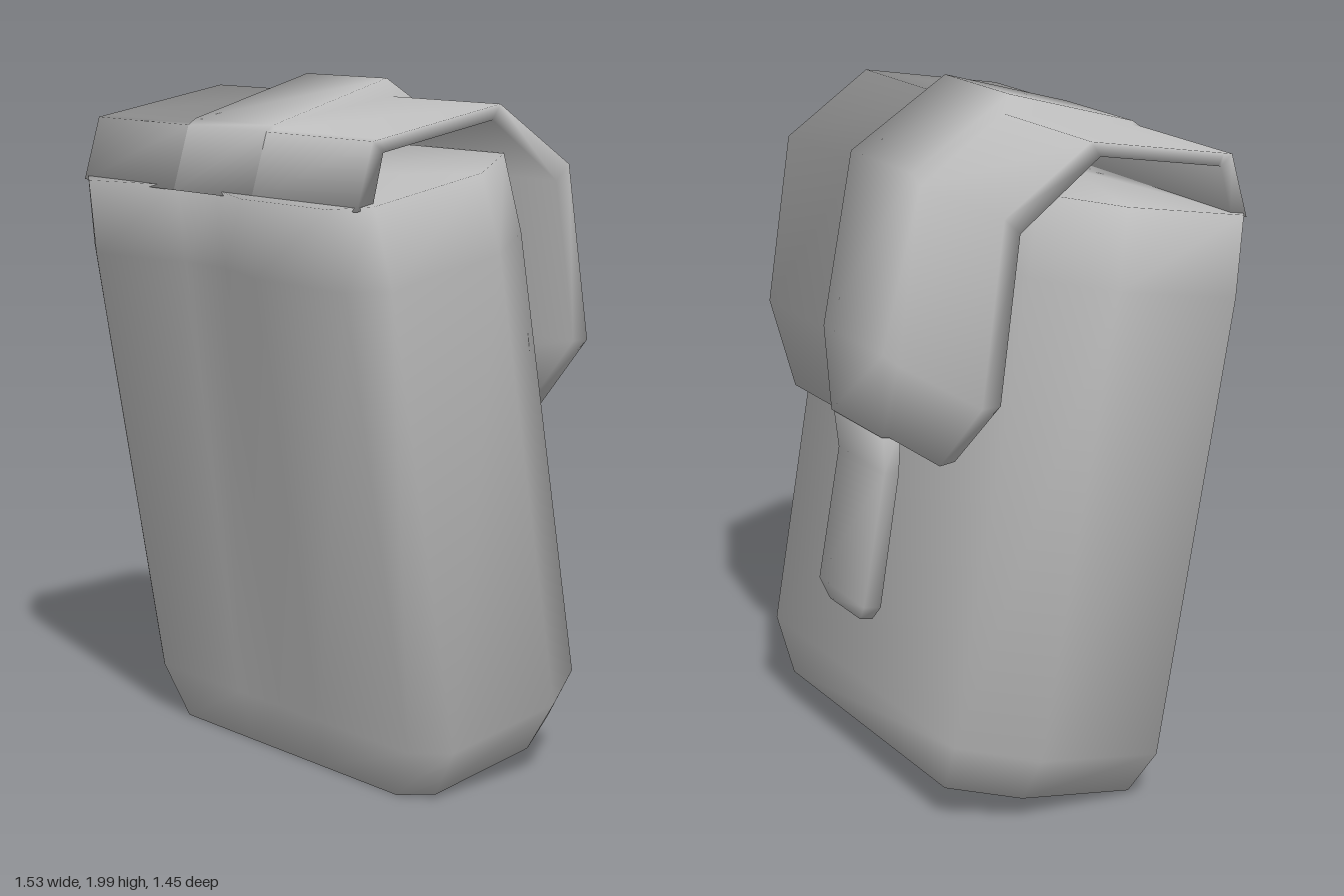
import * as THREE from 'three';

const fabric = new THREE.MeshStandardMaterial({ color: 0xbbbbbb });
fabric.name = 'grey fabric';

// Soft normals: every touching face counts the same, so thin rims look rounded
function softenNormals(g) {
  const p = g.attributes.position, idx = g.index.array;
  const sums = Array.from({ length: p.count }, () => new THREE.Vector3());
  const tri = new THREE.Triangle(), n = new THREE.Vector3();
  for (let i = 0; i < idx.length; i += 3) {
    tri.setFromAttributeAndIndices(p, idx[i], idx[i + 1], idx[i + 2]);
    tri.getNormal(n);
    for (let k = 0; k < 3; k++) sums[idx[i + k]].add(n);
  }
  const normals = sums.flatMap((v) => v.normalize().toArray());
  g.setAttribute('normal', new THREE.Float32BufferAttribute(normals, 3));
}

// Smooth closed skin through rings of [x, y, z] points, capped at both ends
function loft(name, rings) {
  const n = rings[0].length, last = rings.length - 1;
  const pos = rings.flat(2), idx = [];
  for (let i = 0; i < last; i++) {
    for (let j = 0; j < n; j++) {
      const k = (j + 1) % n, a = i * n, b = a + n;
      idx.push(a + j, a + k, b + k, a + j, b + k, b + j);
    }
  }
  const caps = [[0, true], [last, false]];
  for (const [r, flip] of caps) {
    const c = pos.length / 3;
    for (let axis = 0; axis < 3; axis++) {
      pos.push(rings[r].reduce((s, p) => s + p[axis], 0) / n);
    }
    for (let j = 0; j < n; j++) {
      const a = r * n + j, b = r * n + (j + 1) % n;
      idx.push(...(flip ? [b, a, c] : [a, b, c]));
    }
  }
  const g = new THREE.BufferGeometry();
  g.setAttribute('position', new THREE.Float32BufferAttribute(pos, 3));
  g.setIndex(idx);
  softenNormals(g);
  const mesh = new THREE.Mesh(g, fabric);
  mesh.name = name;
  return mesh;
}

// Bag: chamfered outline, the upper back slightly hollowed, as [x, z, hollow]
function makeBag() {
  const outline = [
    [0.56, 0.505, 0], [0.69, 0.3, 0], [0.69, -0.09, 0], [0.58, -0.16, 0],
    [0.19, -0.16, 1], [0, -0.16, 1], [-0.19, -0.16, 0],
    [-0.58, -0.16, 0], [-0.69, -0.09, 0], [-0.69, 0.3, 0], [-0.56, 0.505, 0],
  ];
  // height, width scale, depth scale, depth of the hollow
  const levels = [
    [0.037, 0.85, 0.93, 0], [0.19, 1, 1, 0], [1.52, 1, 1, 0.045], [1.745, 0.96, 0.985, 0.05],
  ];
  return loft('bag', levels.map(([y, sx, sz, dip]) =>
    outline.map(([x, z, hollow]) => [x * sx, y, -0.1 + (z + 0.1) * sz + hollow * dip])));
}

// Flap: up from the back edge, over the top and down the front with clipped
// corners; the strap is a raised rib along its middle
function makeFlap() {
  // half width, outer z y, inner z y, rib half width, rib z y
  const rows = [
    [0.63, -0.125, 1.735, -0.07, 1.735, 0.18, -0.125, 1.735],
    [0.63, -0.04, 1.905, -0.01, 1.868, 0.18, -0.04, 1.905],
    [0.63, -0.013, 1.905, 0.0, 1.868, 0.18, -0.013, 1.918],
    [0.63, 0.42, 1.905, 0.385, 1.868, 0.18, 0.41, 1.96],
    [0.63, 0.65, 1.685, 0.595, 1.65, 0.18, 0.68, 1.72],
    [0.64, 0.635, 1.18, 0.58, 1.19, 0.18, 0.69, 1.21],
    [0.44, 0.615, 0.967, 0.57, 0.98, 0.155, 0.64, 0.967],
  ];
  return loft('flap', rows.map(([w, oz, oy, iz, iy, r, rz, ry]) => [
    [-w, iy, iz], [w, iy, iz], [w, oy, oz], [r, oy, oz],
    [r, ry, rz], [-r, ry, rz], [-r, oy, oz], [-w, oy, oz],
  ]));
}

// Strap end: hangs below the flap, just clear of the bag
function makeStrapEnd() {
  // half width, height, outer z, inner z
  const rows = [
    [0.155, 1.0, 0.642, 0.585], [0.14, 0.86, 0.607, 0.56],
    [0.14, 0.46, 0.61, 0.555], [0.095, 0.41, 0.59, 0.55],
  ];
  return loft('strapEnd', rows.map(([w, y, oz, iz]) => [
    [-w, y, iz], [w, y, iz], [w, y, oz], [-w, y, oz],
  ]));
}

export function createModel() {
  const model = new THREE.Group();
  model.name = 'pouch';

  const pouch = new THREE.Group();
  pouch.name = 'tiltedPouch';
  pouch.add(makeBag(), makeFlap(), makeStrapEnd());

  // Turned away and leaning back
  pouch.rotation.set(-THREE.MathUtils.degToRad(10), THREE.MathUtils.degToRad(142), 0, 'YXZ');
  model.add(pouch);
  return model;
}
